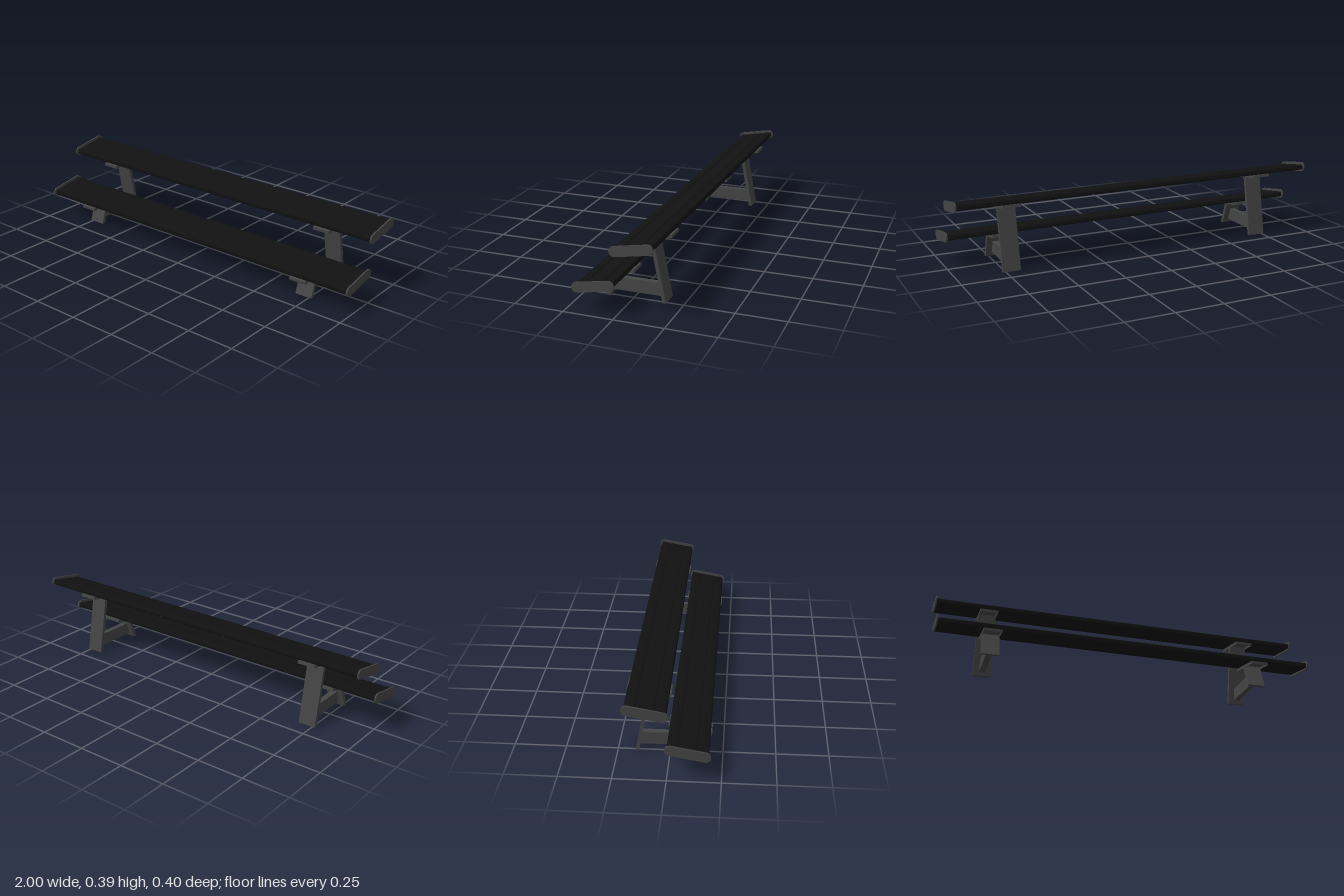
import * as THREE from 'three';
import { toCreasedNormals } from 'three/addons/utils/BufferGeometryUtils.js';

const black = new THREE.MeshStandardMaterial({ color: 0x111111 });
const metal = new THREE.MeshStandardMaterial({ color: 0x444444 });

const TILT = 0.177;      // both boards rise toward the back
const LEG_X = 0.718;     // leg frames left and right
const LEG_W = 0.093;

// Extrude a (z, y) outline along x, centred on x = 0
function profile(shape, width) {
  const g = new THREE.ExtrudeGeometry(shape, { depth: width, bevelEnabled: false, curveSegments: 10 });
  g.translate(0, 0, -width / 2);
  g.rotateY(-Math.PI / 2);
  return toCreasedNormals(g, 0.6);
}

function polygon(points) {
  return new THREE.Shape(points.map(([z, y]) => new THREE.Vector2(z, y)));
}

function add(parent, name, geometry, material, x = 0, y = 0, z = 0) {
  const mesh = new THREE.Mesh(geometry, material);
  mesh.name = name;
  mesh.position.set(x, y, z);
  parent.add(mesh);
  return mesh;
}

// Board section: rounded edges and two shallow grooves along the top
function boardShape() {
  const w = 0.097, top = 0.012, bottom = -0.016, r = 0.012;
  const s = new THREE.Shape();
  s.moveTo(-w + r, bottom);
  s.lineTo(w - r, bottom);
  s.quadraticCurveTo(w, bottom, w, bottom + r);
  s.lineTo(w, top - r);
  s.quadraticCurveTo(w, top, w - r, top);
  for (const u of [0.043, -0.043]) {
    s.lineTo(u + 0.005, top);
    s.lineTo(u + 0.003, top - 0.003);
    s.lineTo(u - 0.003, top - 0.003);
    s.lineTo(u - 0.005, top);
  }
  s.lineTo(-w + r, top);
  s.quadraticCurveTo(-w, top, -w, top - r);
  s.lineTo(-w, bottom + r);
  s.quadraticCurveTo(-w, bottom, -w + r, bottom);
  return s;
}

// End cap: a flat plate with fully rounded ends
function capShape() {
  const h = 0.082, r = 0.025;
  const s = new THREE.Shape();
  s.moveTo(-h, -r);
  s.lineTo(h, -r);
  s.absarc(h, 0, r, -Math.PI / 2, Math.PI / 2, false);
  s.lineTo(-h, r);
  s.absarc(-h, 0, r, Math.PI / 2, Math.PI * 1.5, false);
  return s;
}

// Shallow tray under a board, open downward
function bracket() {
  const g = new THREE.Group();
  g.name = 'bracket';
  const len = 0.208, t = 0.004, h = 0.015, y = -0.0235;
  add(g, 'bracketPlate', new THREE.BoxGeometry(LEG_W, t, len), metal, 0, -0.018, 0);
  for (const s of [-1, 1]) {
    add(g, 'bracketSide', new THREE.BoxGeometry(t, h, len), metal, s * (LEG_W - t) / 2, y, 0);
    add(g, 'bracketEnd', new THREE.BoxGeometry(LEG_W, h, t), metal, 0, y, s * (len - t) / 2);
  }
  return g;
}

// One board with its caps and brackets
function plank(name, y, z) {
  const g = new THREE.Group();
  g.name = name;
  add(g, 'board', profile(boardShape(), 1.985), black);
  for (const s of [-1, 1]) {
    add(g, 'endCap', profile(capShape(), 0.008), metal, s * 0.996);
    const b = bracket();
    b.position.set(s * LEG_X, 0, 0.002);
    g.add(b);
  }
  g.position.set(0, y, z);
  g.rotation.x = TILT;
  return g;
}

// Slanted flat leg, cut level at the floor
function legShape(z0, z1, height, half) {
  return polygon([[z0 - half, 0], [z0 + half, 0], [z1 + half, height], [z1 - half, height]]);
}

export function createModel() {
  const model = new THREE.Group();
  model.name = 'bench';

  model.add(plank('backrestPlank', 0.348, -0.0945));
  model.add(plank('seatPlank', 0.147, 0.0965));

  // Leg frames: tall rear leg, short front leg, crossbar between
  for (const s of [-1, 1]) {
    const frame = new THREE.Group();
    frame.name = 'legFrame';
    add(frame, 'rearLeg', profile(legShape(-0.158, -0.096, 0.329, 0.009), LEG_W), metal);
    add(frame, 'frontLeg', profile(legShape(0.1275, 0.085, 0.13, 0.0095), LEG_W), metal);
    add(frame, 'crossbar', profile(polygon([
      [-0.153, 0.02], [0.12, 0.02], [0.099, 0.085], [-0.141, 0.085],
    ]), 0.03), metal);
    frame.position.x = s * LEG_X;
    model.add(frame);
  }
  return model;
}
